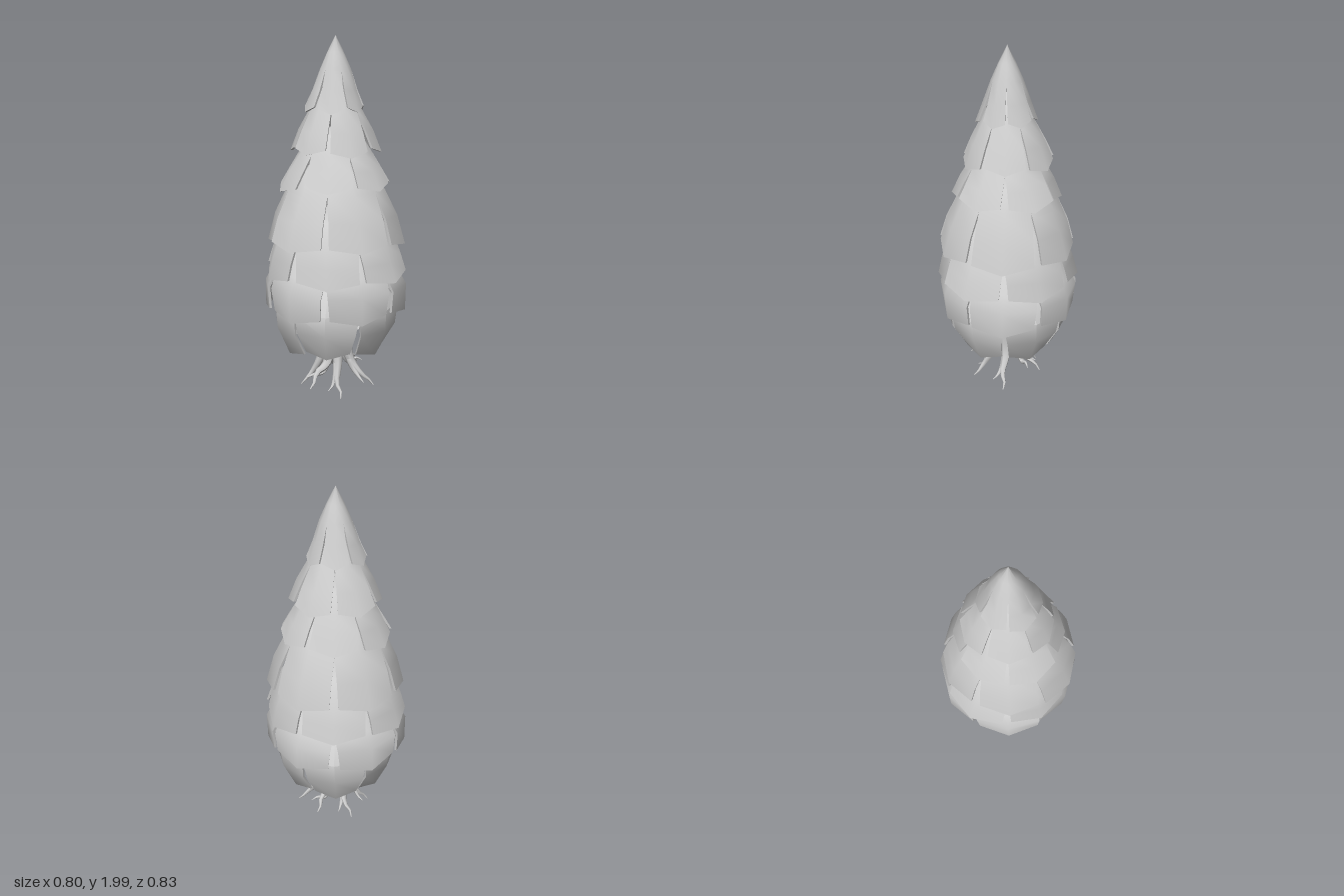
import * as THREE from 'three';
import { toCreasedNormals } from 'three/addons/utils/BufferGeometryUtils.js';

const material = new THREE.MeshStandardMaterial({ color: 0xcccccc });
const COUNT = 6; // scales per tier
const THICK = 0.014;

// Seeded jitter in -1..1
let seed = 7;
function jitter() {
  seed = (seed * 16807) % 2147483647;
  return (seed / 2147483647) * 2 - 1;
}

// Each tier: [radius, height] rows from top to hem, and the row where the slits begin
const tiers = [
  { slit: 2, rows: [[0, 2], [0.045, 1.91], [0.085, 1.82], [0.125, 1.71], [0.167, 1.625]] },
  { slit: 2, rows: [[0, 1.76], [0.09, 1.7], [0.142, 1.61], [0.205, 1.49], [0.25, 1.395]] },
  { slit: 2, rows: [[0, 1.52], [0.14, 1.47], [0.205, 1.37], [0.26, 1.28], [0.31, 1.2]] },
  { slit: 2, rows: [[0, 1.33], [0.2, 1.28], [0.275, 1.17], [0.345, 1.03], [0.39, 0.9]] },
  { slit: 2, rows: [[0, 1.08], [0.25, 1.02], [0.335, 0.9], [0.375, 0.8], [0.405, 0.72]] },
  { slit: 2, rows: [[0, 0.86], [0.26, 0.82], [0.35, 0.73], [0.398, 0.64], [0.393, 0.52]] },
  { slit: 2, rows: [[0, 0.7], [0.27, 0.64], [0.355, 0.53], [0.345, 0.41], [0.275, 0.285]] },
];

// One tier of curved plates, joined at the crown and split towards the hem
function tierGeometry({ rows, slit }, offset) {
  const pos = [];
  const index = [];
  const last = rows.length - 1;
  for (let k = 0; k < COUNT; k++) {
    const base = pos.length / 3;
    const mid = ((k + offset) / COUNT) * Math.PI * 2;
    const flare = 0.012 * jitter();
    const twist = 0.035 * jitter();
    const lift = 0.012 * jitter();
    rows.forEach(([r, y], i) => {
      const t = Math.max(0, (i - slit) / (last - slit)); // 0 at the crown, 1 at the hem
      const half = Math.PI / COUNT - 0.06 * Math.sqrt(t);
      // Closed ring: outer left, middle, right, then inner right, middle, left
      for (let j = 0; j < 6; j++) {
        const u = j < 3 ? j - 1 : 4 - j;
        const a = mid + u * half + twist * t;
        let rad = r + flare * t - (j < 3 ? 0 : THICK);
        if (u) rad *= 1 - 0.04 * t;
        rad = Math.max(rad, 0);
        const drop = i === last && !u ? 0.028 : 0;
        pos.push(rad * Math.sin(a), y + lift * t - drop, rad * Math.cos(a));
      }
    });
    for (let i = 0; i < last; i++) {
      for (let j = 0; j < 6; j++) {
        const a = base + i * 6 + j;
        const d = base + i * 6 + ((j + 1) % 6);
        index.push(a, a + 6, d + 6, a, d + 6, d);
      }
    }
    // Hem
    const h = base + last * 6;
    index.push(h, h + 5, h + 4, h, h + 4, h + 1, h + 1, h + 4, h + 3, h + 1, h + 3, h + 2);
  }
  const geo = new THREE.BufferGeometry();
  geo.setAttribute('position', new THREE.Float32BufferAttribute(pos, 3));
  geo.setIndex(index);
  return toCreasedNormals(geo, 0.85);
}

// Tube that thins to a point after the given fraction of its length
function taperedTube(points, radius, from) {
  const curve = new THREE.CatmullRomCurve3(points);
  const segs = 16, sides = 8;
  const geo = new THREE.TubeGeometry(curve, segs, radius, sides);
  const p = geo.attributes.position;
  const v = new THREE.Vector3();
  for (let i = 0; i <= segs; i++) {
    const c = curve.getPointAt(i / segs);
    const s = 1 - 0.93 * Math.max(0, (i / segs - from) / (1 - from));
    for (let j = 0; j <= sides; j++) {
      const n = i * (sides + 1) + j;
      v.fromBufferAttribute(p, n).sub(c).multiplyScalar(s).add(c);
      p.setXYZ(n, v.x, v.y, v.z);
    }
  }
  geo.computeVertexNormals();
  return geo;
}

// Root tips: x, y, z
const tips = [
  [-0.25, 0.07, 0.02], [-0.14, 0.01, 0.15], [0.1, 0.03, 0.2],
  [0.22, 0.09, -0.01], [0.1, 0.04, -0.17], [-0.13, 0.02, -0.15],
];

function makeRoot([x, y, z]) {
  const root = new THREE.Group();
  root.name = 'root';
  const reach = Math.hypot(x, z);
  const dx = x / reach, dz = z / reach;
  // Point at a distance out from the axis, shifted sideways
  const at = (out, h, side = 0) =>
    new THREE.Vector3(dx * out - dz * side, h, dz * out + dx * side);
  const add = (name, geo) => {
    const mesh = new THREE.Mesh(geo, material);
    mesh.name = name;
    root.add(mesh);
  };
  add('rootStem', taperedTube([
    at(0.06, 0.62), at(0.06, 0.42), at(0.062, 0.26), at(0.09, 0.17),
    at(reach * 0.7, y + 0.065, 0.012), at(reach * 0.87, y + 0.03, -0.005), at(reach, y),
  ], 0.038, 0.5));
  add('rootFork', taperedTube([
    at(0.075, 0.2), at(0.11, 0.125, 0.015), at(reach * 0.68, y + 0.05, 0.04),
    at(reach * 0.8, y + 0.035, 0.065),
  ], 0.022, 0.2));
  return root;
}

export function createModel() {
  const model = new THREE.Group();
  model.name = 'scaledCone';

  // Alternate tiers are turned by half a scale
  tiers.forEach((tier, i) => {
    const mesh = new THREE.Mesh(tierGeometry(tier, (i % 2) * 0.5), material);
    mesh.name = `scaleTier${i + 1}`;
    model.add(mesh);
  });

  const roots = new THREE.Group();
  roots.name = 'roots';
  tips.forEach((tip) => roots.add(makeRoot(tip)));
  model.add(roots);
  return model;
}
